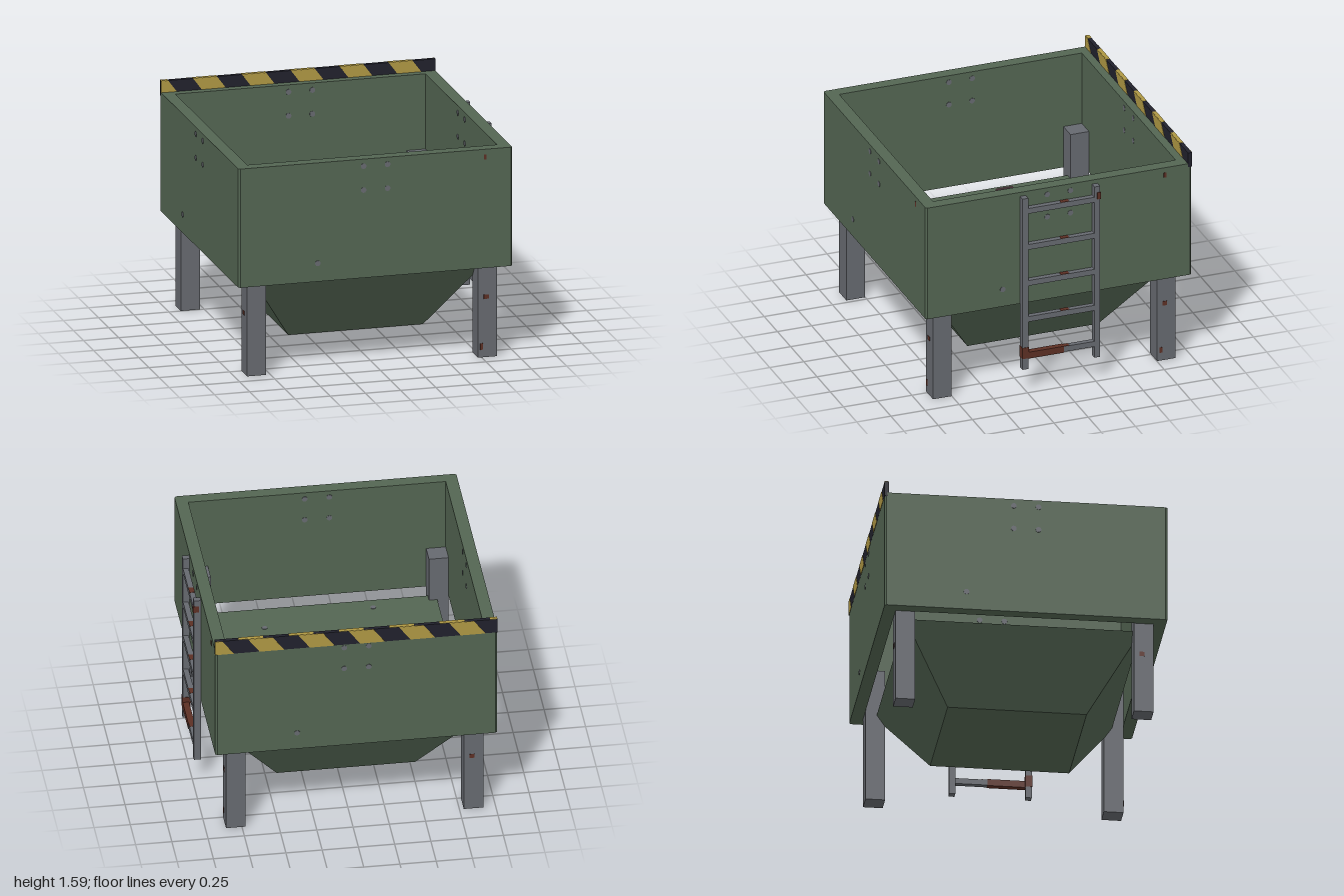
import * as THREE from 'three';

const mat = (name, color) => {
  const m = new THREE.MeshStandardMaterial({ color });
  m.name = name;
  return m;
};

export function createModel() {
  const green = mat('green paint', 0x536552);
  const steel = mat('grey steel', 0x66696f);
  const yellow = mat('warning yellow', 0xae9743);
  const black = mat('warning black', 0x21212c);
  const rust = mat('rust', 0x5c2f24);
  const stain = mat('dark stain', 0x3c2b2e);

  const model = new THREE.Group();
  model.name = 'hopper';
  const CX = -0.0275; // centre line of the bin, the ladder sits to its left

  const add = (name, geometry, material, parent = model) => {
    const mesh = new THREE.Mesh(geometry, material);
    mesh.name = name;
    parent.add(mesh);
    return mesh;
  };
  const group = (name) => {
    const g = new THREE.Group();
    g.name = name;
    model.add(g);
    return g;
  };
  // box given by its limits
  const block = (name, x0, x1, y0, y1, z0, z1, material, parent) => {
    const g = new THREE.BoxGeometry(x1 - x0, y1 - y0, z1 - z0);
    g.translate((x0 + x1) / 2, (y0 + y1) / 2, (z0 + z1) / 2);
    return add(name, g, material, parent);
  };
  const polygon = (points) => new THREE.Shape(points.map(([x, y]) => new THREE.Vector2(x, y)));
  const plate = (points, depth = 0.004) =>
    new THREE.ExtrudeGeometry(polygon(points), { depth, bevelEnabled: false });

  // Open bin: walls with slightly cut corners
  const a = 0.9725, c = 0.96, b = 0.8875;
  const outline = polygon([[-c, -a], [c, -a], [a, -c], [a, c], [c, a], [-c, a], [-a, c], [-a, -c]]);
  outline.holes.push(polygon([[-b, -b], [-b, b], [b, b], [b, -b]]));
  const walls = new THREE.ExtrudeGeometry(outline, { depth: 0.845, bevelEnabled: false });
  walls.rotateX(-Math.PI / 2);
  walls.translate(CX, 0.66, 0);
  add('binWalls', walls, green);

  // Tapered hopper below the bin
  let funnel = new THREE.CylinderGeometry(0.81 * Math.SQRT2, 0.478 * Math.SQRT2, 0.49, 4);
  funnel.rotateY(Math.PI / 4);
  funnel.translate(CX, 0.39, 0);
  funnel = funnel.toNonIndexed();
  funnel.computeVertexNormals();
  add('hopperFunnel', funnel, green);

  // Legs in the inner corners
  for (const sx of [-1, 1]) {
    for (const sz of [-1, 1]) {
      const g = new THREE.BoxGeometry(0.135, 0.97, 0.135);
      g.translate(CX + sx * 0.82, 0.485, sz * 0.82);
      add('leg', g, steel);
    }
  }

  // Ladder on the left side
  const ladder = group('ladder');
  for (const s of [-1, 1]) {
    block('ladderRail', 0.943, 0.993, 0.177, 1.475, s * 0.263 - 0.021, s * 0.263 + 0.021, steel, ladder);
  }
  for (let i = 0; i < 5; i++) {
    const y = 0.28 + i * 0.274;
    block('ladderRung', 0.953, 0.991, y - 0.02, y + 0.02, -0.245, 0.245, steel, ladder);
    block('rungRust', 0.955, 0.99, y + 0.02, y + 0.023, -0.06, 0, rust, ladder);
  }
  block('rungRust', 0.95, 0.994, 0.256, 0.304, -0.02, 0.243, rust, ladder);
  block('railRust', 0.94, 0.996, 0.26, 0.343, 0.239, 0.287, rust, ladder);
  block('railRust', 0.96, 1, 1.38, 1.43, -0.286, -0.262, rust, ladder);

  // Striped warning board on the back edge
  const board = group('warningBoard');
  const x0 = -1, x1 = 0.948, y0 = 1.48, y1 = 1.588, z0 = -0.973, z1 = -0.945;
  block('boardCore', x0, x1, y0, y1, z0, z1, black, board);
  const slant = 0.08, width = x1 - x0;
  const clip = (v) => Math.min(Math.max(v, 0), width);
  for (let i = 0; i < 6; i++) {
    const s = i * 0.347 - 0.12, e = s + 0.17;
    const points = [[clip(s + slant), 0], [clip(e + slant), 0], [clip(e), y1 - y0], [clip(s), y1 - y0]];
    if (s < 0) points.splice(3, 1, [0, y1 - y0]);
    add('frontStripe', plate(points, 0.002), yellow, board).position.set(x0, y0, z1);
    const back = add('backStripe', plate(points, 0.002), yellow, board);
    back.position.set(x1, y0, z0);
    back.rotation.y = Math.PI;
    block('topStripe', x0 + clip(s), x0 + clip(e), y1, y1 + 0.002, z0, z1, yellow, board);
  }

  // Bolt heads: four per panel, facing along a normal
  const bolts = group('bolts');
  const up = new THREE.Vector3(0, 1, 0);
  const boltShape = new THREE.CylinderGeometry(0.02, 0.02, 0.006, 10);
  const bolt = (x, y, z, nx, ny, nz) => {
    const m = add('bolt', boltShape, steel, bolts);
    m.position.set(x, y, z);
    m.quaternion.setFromUnitVectors(up, new THREE.Vector3(nx, ny, nz));
  };
  for (const s of [-1, 1]) {
    for (const t of [-0.085, 0.085]) {
      for (const y of [1.285, 1.455]) {
        for (const d of [a, b]) {
          bolt(CX + t, y, s * d, 0, 0, 1);
          bolt(CX + s * d, y, t, 1, 0, 0);
        }
      }
      bolt(CX + t, 0.635, s * 0.085, 0, 1, 0);
    }
  }
  for (const s of [-1, 1]) {
    bolt(CX - s * 0.41, 0.79, s * a, 0, 0, 1);
    bolt(CX + s * a, 0.79, s * 0.41, 1, 0, 0);
  }
  for (const [x, z] of [[-0.69, -0.49], [0.675, -0.49], [0.14, -0.365], [0.38, -0.79],
    [-0.39, -0.64], [-0.39, 0.72], [0.38, 0.575]]) bolt(x, 0.635, z, 0, 1, 0);

  // Stains on the funnel lid
  const stains = [
    [[-0.815, 0.34], [-0.815, 0.22], [-0.74, 0.18], [-0.69, 0.155], [-0.65, 0.16], [-0.605, 0.23], [-0.605, 0.34]],
    [[0.55, 0.34], [0.55, 0.23], [0.63, 0.19], [0.67, 0.155], [0.715, 0.155], [0.76, 0.22], [0.76, 0.34]],
  ];
  for (const points of stains) {
    const m = add('lidStain', plate(points), stain);
    m.rotation.x = -Math.PI / 2;
    m.position.y = 0.635;
  }
  block('lidRust', 0.415, 0.44, 0.635, 0.639, -0.31, -0.29, rust);
  block('lidRust', 0.545, 0.565, 0.635, 0.639, -0.1, -0.06, rust);

  // Rust spots on legs and walls
  block('legRust', 0.765, 0.8, 0.415, 0.445, 0.887, 0.891, rust);
  block('legRust', 0.74, 0.76, 0.055, 0.1, 0.887, 0.891, rust);
  block('legRust', 0.86, 0.863, 0.415, 0.447, -0.825, -0.79, rust);
  block('legRust', 0.86, 0.863, 0.06, 0.1, -0.79, -0.77, rust);
  block('legRust', -0.855, -0.82, 0.415, 0.445, -0.891, -0.887, rust);
  block('legRust', -0.918, -0.914, 0.415, 0.447, 0.79, 0.825, rust);
  block('wallRust', 0.742, 0.76, 1.432, 1.468, 0.972, 0.975, rust);
  block('wallRust', 0.944, 0.948, 1.432, 1.468, -0.785, -0.767, rust);

  return model;
}
